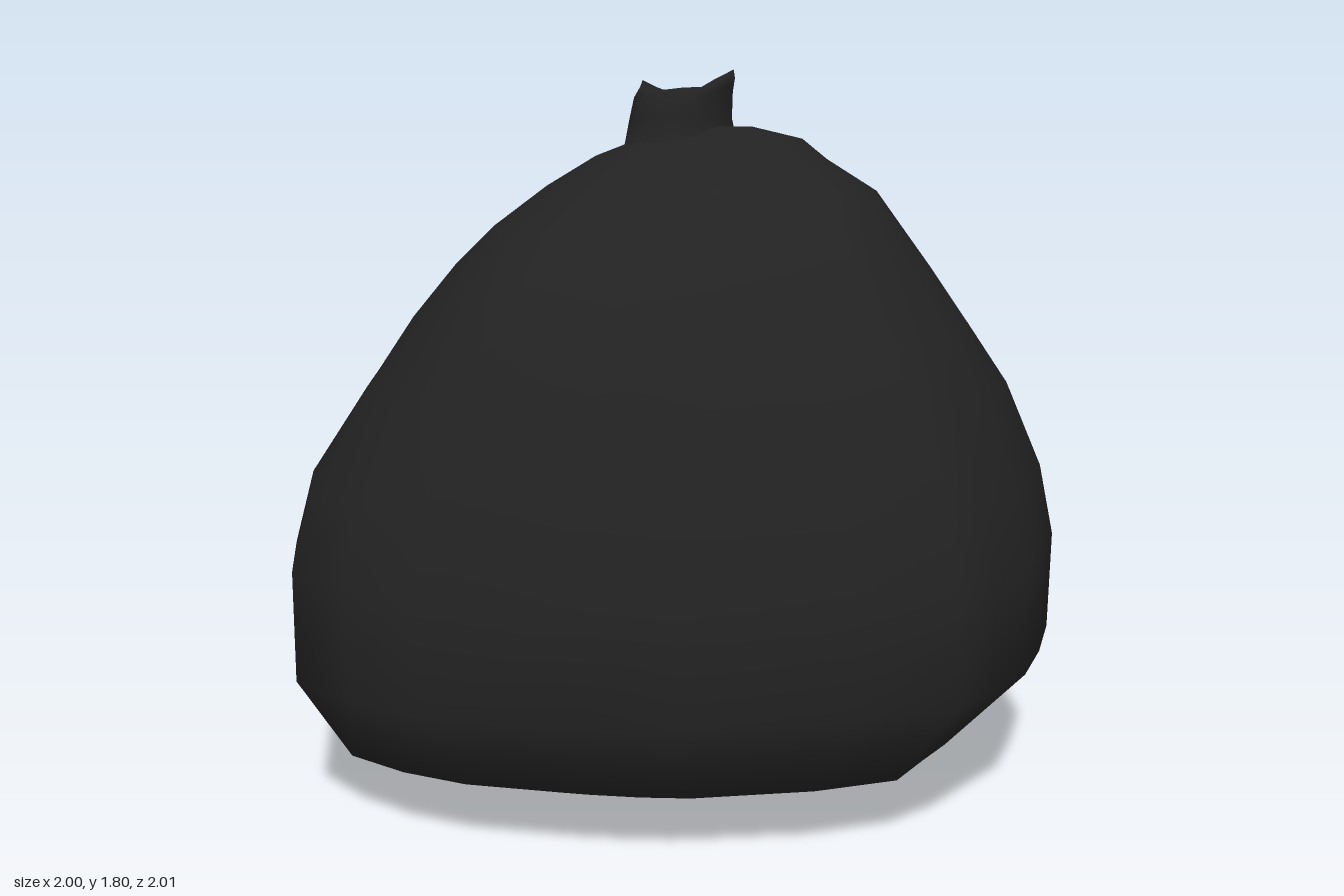
import * as THREE from 'three';

// Irregular plan of the sack as [x, z], walked from the back round by the left
const PLAN = [
  [0.03, -1], [0.29, -1], [0.46, -0.92], [0.53, -0.82], [0.65, -0.67], [0.89, -0.41], [0.99, -0.23],
  [1, 0], [1, 0.2], [0.95, 0.35], [0.9, 0.51], [0.69, 0.66], [0.34, 0.87], [0.11, 0.96], [-0.26, 1],
  [-0.46, 0.95], [-0.65, 0.87], [-0.82, 0.6], [-0.95, 0.26], [-1, -0.03], [-0.93, -0.38],
  [-0.78, -0.68], [-0.55, -0.9], [-0.26, -0.96],
];

// Sack levels: y, xMin, xMax, zMin, zMax, then the bulge of each corner:
// front left, front right, back right, back left
const SACK = [
  [0, 0.15, 0.15, -0.38, -0.38, [0, 0, 0, 0]],
  [0.03, -0.05, 0.38, -0.48, 0.18, [0.06, 0.06, 0.04, 0]],
  [0.08, -0.36, 0.6, -0.62, 0.67, [0.08, 0.12, 0.05, -0.04]],
  [0.16, -0.71, 0.81, -0.72, 0.88, [0.06, 0.11, 0.02, -0.06]],
  [0.35, -0.92, 1, -1, 1, [0, 0.04, 0, -0.05]],
  [0.6, -1, 1, -1, 0.97, [0, 0, 0, -0.03]],
  [0.78, -0.97, 0.96, -0.98, 0.92, [-0.01, -0.01, -0.01, -0.03]],
  [1, -0.85, 0.88, -0.88, 0.83, [-0.02, -0.05, -0.03, -0.1]],
  [1.15, -0.74, 0.79, -0.77, 0.75, [-0.05, -0.07, -0.05, -0.15]],
  [1.3, -0.6, 0.69, -0.65, 0.66, [-0.05, -0.07, -0.04, -0.16]],
  [1.4, -0.5, 0.61, -0.55, 0.52, [-0.03, -0.05, -0.02, -0.14]],
  [1.5, -0.36, 0.53, -0.46, 0.38, [0, -0.02, 0, -0.1]],
  [1.58, -0.23, 0.39, -0.36, 0.24, [0, 0, 0, -0.06]],
  [1.63, -0.11, 0.32, -0.27, 0.12, [0, 0, 0, 0]],
  [1.66, -0.07, 0.2, -0.16, 0.08, [0, 0, 0, 0]],
  [1.66, 0.03, 0.03, 0, 0, [0, 0, 0, 0]],
];

// Gathered neck levels: y, xMin, xMax, zMin, zMax, waviness of the rim
const NECK = [
  [1.55, -0.23, 0.2, -0.18, 0.2, 0],
  [1.61, -0.13, 0.17, -0.16, 0.14, 0],
  [1.68, -0.115, 0.15, -0.16, 0.135, 0.1],
  [1.74, -0.105, 0.155, -0.14, 0.115, 0.7],
  [1.77, -0.09, 0.165, -0.115, 0.095, 1],
  [1.755, -0.05, 0.11, -0.08, 0.06, 0.7],
  [1.735, 0.03, 0.03, 0, 0, 0],
];

// Skin a stack of closed rings, each plan fitted to its level's extents
function loft(levels, plan, adjust) {
  const n = plan.length, pos = [], index = [];
  levels.forEach(([y, x0, x1, z0, z1, extra], j) => {
    plan.forEach(([px, pz], i) => {
      const angle = Math.atan2(pz, px);
      const { scale = 1, lift = 0 } = adjust(angle, extra, y);
      pos.push(
        (x0 + x1) / 2 + (px * scale * (x1 - x0)) / 2, y + lift,
        (z0 + z1) / 2 + (pz * scale * (z1 - z0)) / 2);
      if (j < levels.length - 1) {
        const a = j * n + i, b = j * n + (i + 1) % n;
        index.push(a, a + n, b, b, a + n, b + n);
      }
    });
  });
  const g = new THREE.BufferGeometry();
  g.setAttribute('position', new THREE.Float32BufferAttribute(pos, 3));
  g.setIndex(index);
  g.computeVertexNormals();
  return g;
}

export function createModel() {
  const plastic = new THREE.MeshStandardMaterial({ color: 0x222222 });
  plastic.name = 'blackPlastic';
  const group = new THREE.Group();
  group.name = 'tiedSack';

  // Full, slumped body with uneven corners and faint gathers below the neck
  const sack = new THREE.Mesh(loft(SACK, PLAN, (a, bulge, y) => {
    const turn = (a + Math.PI * 2) % (Math.PI * 2);
    const corner = Math.floor(turn / (Math.PI / 2)) % 4;
    const gather = Math.exp(-(((y - 1.53) / 0.08) ** 2));
    return {
      scale: 1 + bulge[corner] * Math.sin(2 * a) ** 2,
      lift: 0.006 * gather * Math.sin(a * 5),
    };
  }), plastic);
  sack.name = 'sackBody';

  // Twisted neck with a wavy rim, peaked at both sides
  const round = Array.from({ length: 14 }, (_, i) => {
    const a = (i / 14) * Math.PI * 2;
    return [Math.cos(a), Math.sin(a)];
  });
  const neck = new THREE.Mesh(loft(NECK, round, (a, wave) => ({
    lift: wave * (0.018 * Math.cos(2 * a) + 0.012 * Math.cos(a) + 0.01 * Math.cos(4 * a) - 0.005),
  })), plastic);
  neck.name = 'gatheredNeck';

  group.add(sack, neck);
  return group;
}
